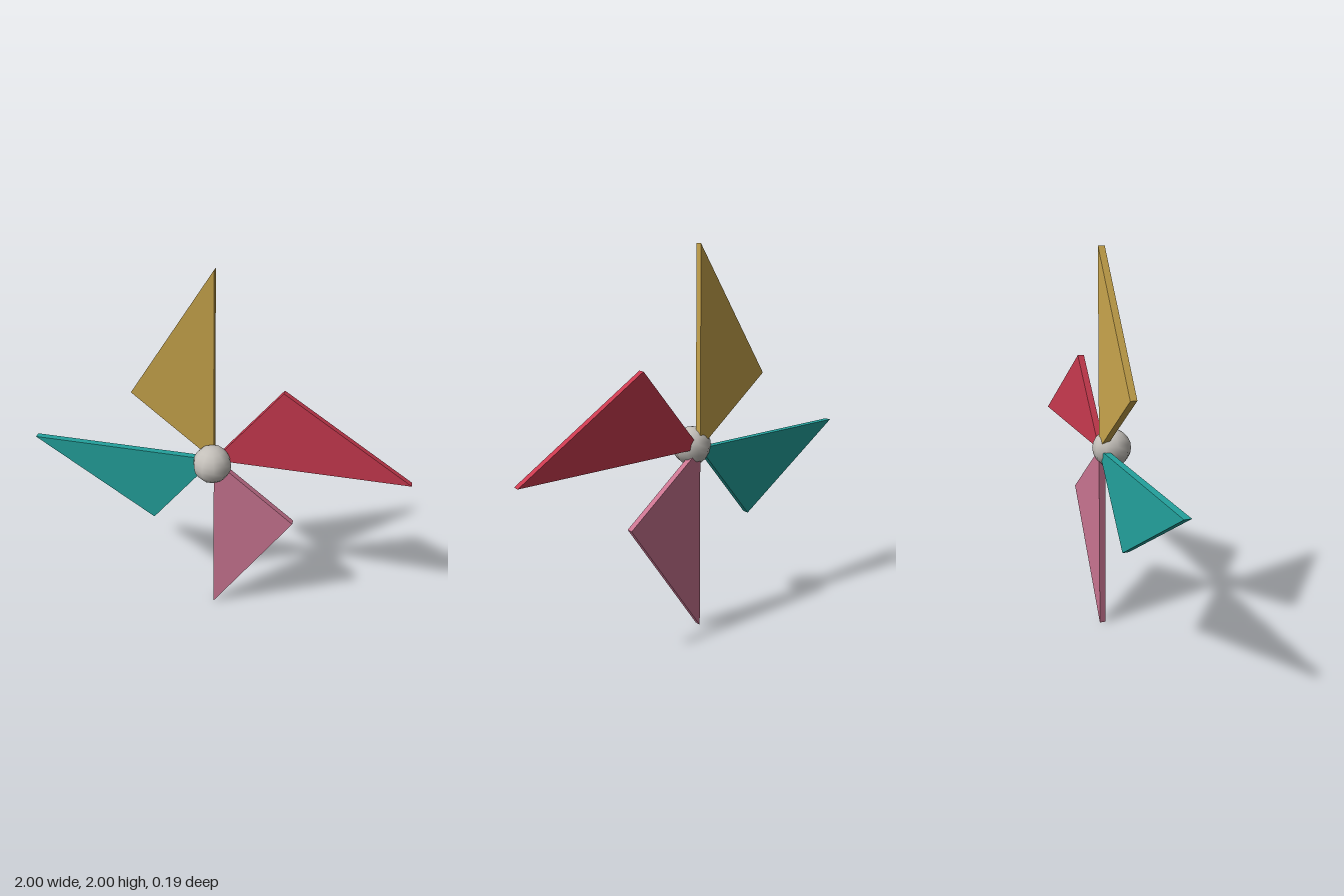
import * as THREE from 'three';

const mat = (name, color) => {
  const m = new THREE.MeshStandardMaterial({ color });
  m.name = name;
  return m;
};

export function createModel() {
  const group = new THREE.Group();
  group.name = 'pinwheel';

  // One triangular blade: straight edge along +x, swept corner above it
  const shape = new THREE.Shape();
  shape.moveTo(0, 0);
  shape.lineTo(1, 0);
  shape.lineTo(0.342, 0.43);
  shape.closePath();
  const bladeGeometry = new THREE.ExtrudeGeometry(shape, { depth: 0.034, bevelEnabled: false });
  bladeGeometry.translate(0, 0, -0.069);

  // Four blades, a quarter turn apart
  const blades = [
    ['redBlade', mat('red', 0xc93a4f)],
    ['yellowBlade', mat('yellow', 0xc9a54c)],
    ['tealBlade', mat('teal', 0x23a19c)],
    ['pinkBlade', mat('pink', 0xc97490)],
  ];
  blades.forEach(([name, material], i) => {
    const blade = new THREE.Mesh(bladeGeometry, material);
    blade.name = name;
    blade.position.y = 1;
    blade.rotation.z = (i * Math.PI) / 2;
    group.add(blade);
  });

  // Round hub in front of the blades
  const hub = new THREE.Mesh(new THREE.SphereGeometry(0.1, 10, 10), mat('light grey', 0xc4c0ba));
  hub.name = 'hub';
  hub.position.y = 1;
  group.add(hub);

  return group;
}
